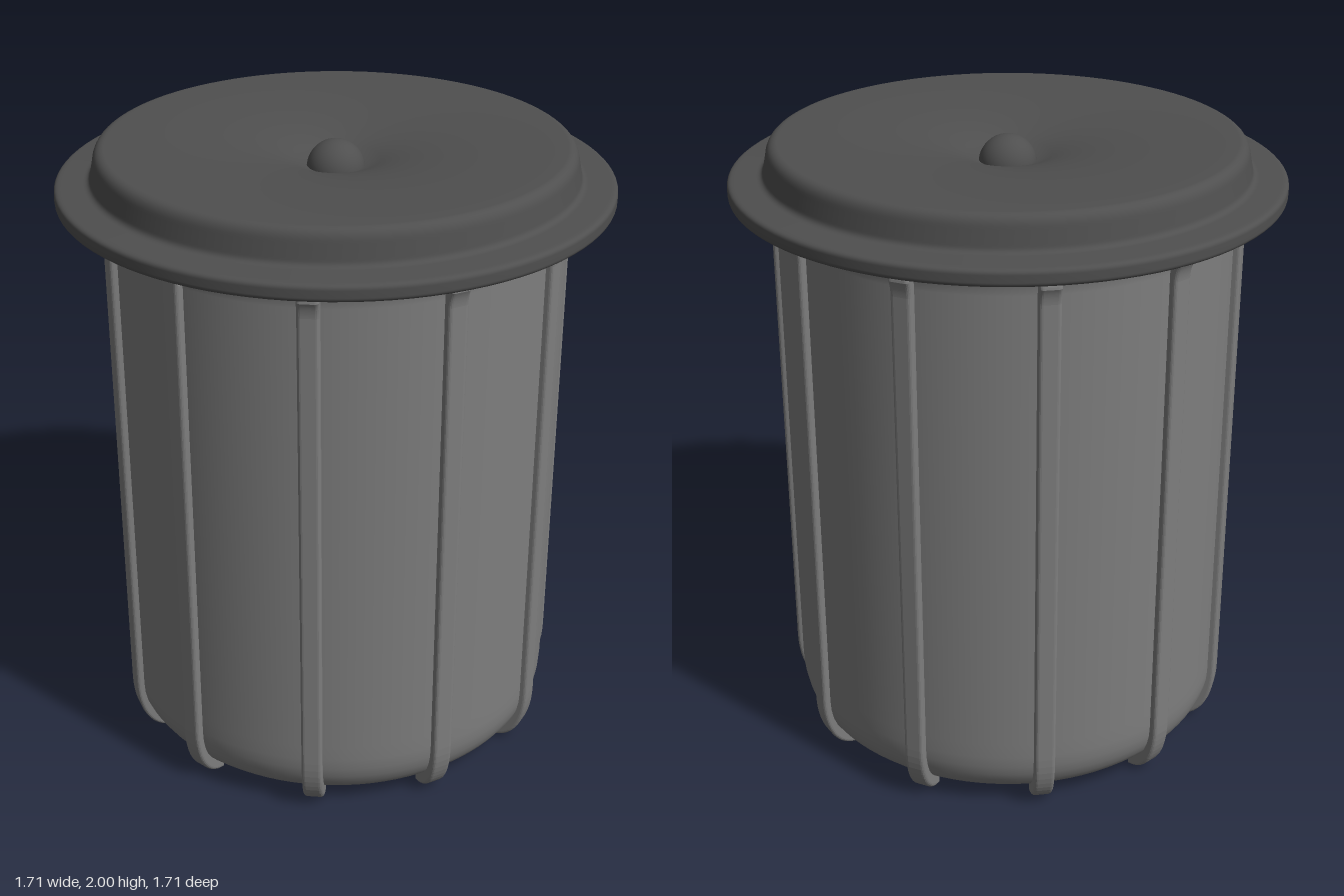
import * as THREE from 'three';

const bodyMaterial = new THREE.MeshStandardMaterial({ color: 0x7e7e7e });
const lidMaterial = new THREE.MeshStandardMaterial({ color: 0x4f4f4f });

// Rib directions in degrees, from front towards left; the first rib is the plain one
const RIB_ANGLES = [-8.6, 25.1, 58.9, 93, 127, 160.5, 194.4, 227.6, 261, 292.4, 323.8];

// Surface of revolution from a path running bottom to top
function turned(name, path, material) {
  const mesh = new THREE.Mesh(new THREE.LatheGeometry(path.getPoints(8), 96), material);
  mesh.name = name;
  return mesh;
}

// Side section of a rib, hugging the wall and curling under the base
function ribGeometry(flared) {
  const s = new THREE.Shape();
  s.moveTo(0.625, 0.012);
  s.bezierCurveTo(0.685, 0.02, 0.723, 0.09, 0.723, 0.2);
  if (flared) {
    s.lineTo(0.723, 1.74);
    s.quadraticCurveTo(0.725, 1.77, 0.735, 1.79);
    s.quadraticCurveTo(0.734, 1.804, 0.715, 1.804);
  } else {
    s.lineTo(0.723, 1.768);
  }
  s.lineTo(0.69, 1.768);
  s.lineTo(0.69, 0.2);
  s.bezierCurveTo(0.69, 0.11, 0.67, 0.06, 0.625, 0.045);
  s.closePath();
  const geometry = new THREE.ExtrudeGeometry(s, {
    depth: 0.042, curveSegments: 12,
    bevelThickness: 0.012, bevelSize: 0.012, bevelSegments: 4,
  });
  return geometry.translate(0, 0, -0.021);
}

export function createModel() {
  const model = new THREE.Group();
  model.name = 'ribbedBin';

  // Straight wall with a rounded bottom corner
  const wall = new THREE.Path();
  wall.moveTo(0, 0.025);
  wall.lineTo(0.55, 0.025);
  wall.lineTo(0.57, 0.026);
  wall.bezierCurveTo(0.66, 0.03, 0.712, 0.09, 0.712, 0.2);
  wall.lineTo(0.712, 0.25);
  wall.lineTo(0.712, 1.76);
  wall.quadraticCurveTo(0.713, 1.8, 0.73, 1.835);
  model.add(turned('body', wall, bodyMaterial));

  // Flanged lid with a raised top that dips towards the middle
  const lid = new THREE.Path();
  lid.moveTo(0, 1.826);
  lid.lineTo(0.79, 1.826);
  lid.lineTo(0.8, 1.827);
  lid.quadraticCurveTo(0.815, 1.836, 0.835, 1.838);
  lid.quadraticCurveTo(0.854, 1.84, 0.854, 1.855);
  lid.lineTo(0.854, 1.876);
  lid.quadraticCurveTo(0.854, 1.891, 0.835, 1.892);
  lid.lineTo(0.83, 1.8925);
  lid.lineTo(0.765, 1.897);
  lid.quadraticCurveTo(0.747, 1.898, 0.744, 1.915);
  lid.lineTo(0.743, 1.92);
  lid.lineTo(0.735, 1.96);
  lid.quadraticCurveTo(0.73, 1.998, 0.7, 2);
  lid.lineTo(0.66, 2);
  lid.bezierCurveTo(0.4, 1.995, 0.2, 1.98, 0.09, 1.922);
  lid.lineTo(0, 1.91);
  model.add(turned('lid', lid, lidMaterial));

  // Small domed knob in the middle of the dip
  const knob = new THREE.Mesh(
    new THREE.SphereGeometry(0.09, 32, 12, 0, Math.PI * 2, 0, Math.PI / 2), lidMaterial);
  knob.position.y = 1.91;
  knob.name = 'knob';
  model.add(knob);

  // Ribs around the wall; the first has a plain square top
  const ribs = new THREE.Group();
  ribs.name = 'ribs';
  const plain = ribGeometry(false), flared = ribGeometry(true);
  RIB_ANGLES.forEach((angle, i) => {
    const rib = new THREE.Mesh(i === 0 ? plain : flared, bodyMaterial);
    rib.rotation.y = THREE.MathUtils.degToRad(angle - 90);
    rib.name = 'rib';
    ribs.add(rib);
  });
  model.add(ribs);
  return model;
}
